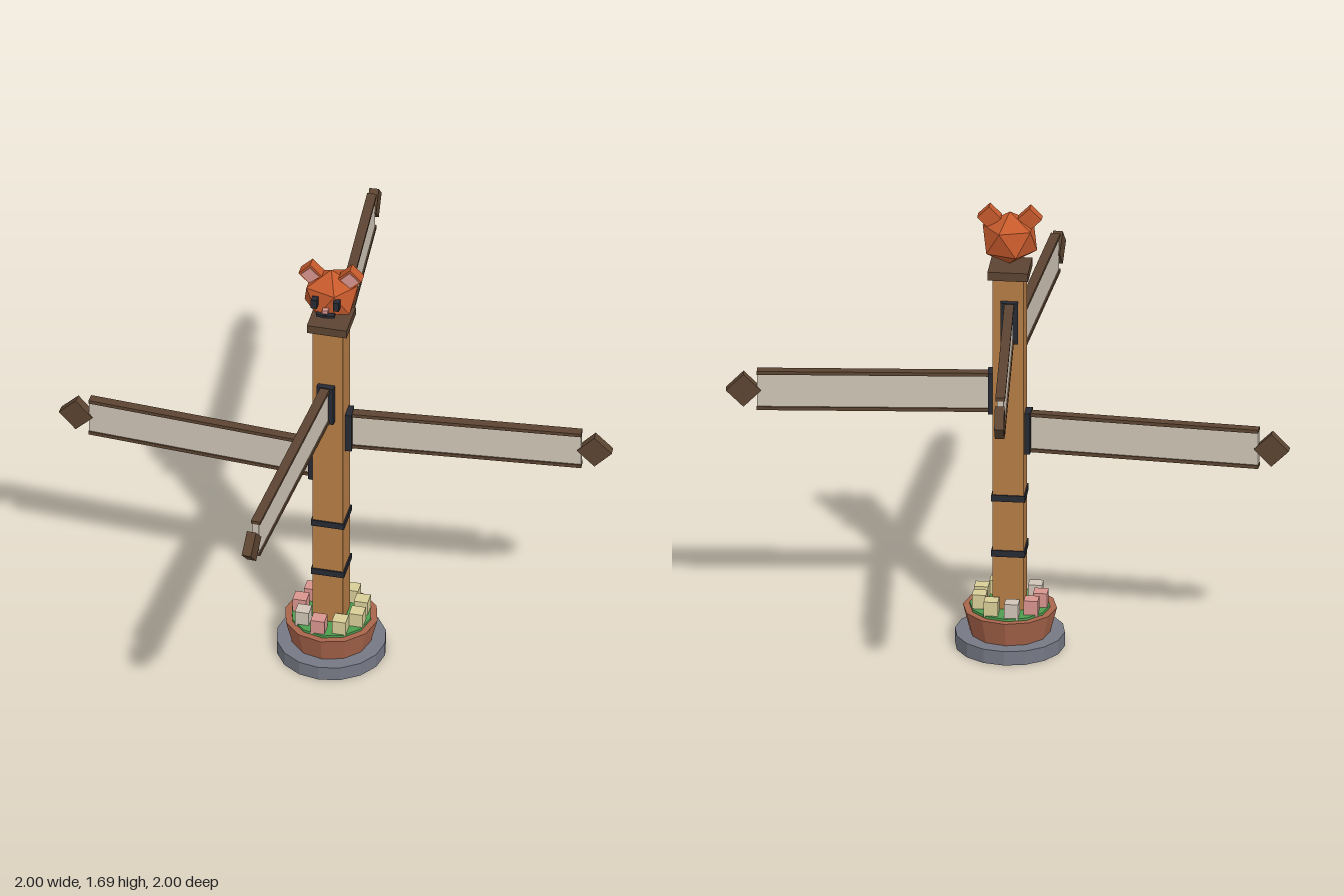
import * as THREE from 'three';

export function createModel() {
  const root = new THREE.Group();
  root.name = 'signpost';
  const mat = (name, color) => {
    const m = new THREE.MeshStandardMaterial({ color });
    m.name = name;
    m.flatShading = true;
    return m;
  };
  const wood = mat('wood', 0xb57d45);
  const darkWood = mat('dark wood', 0x5c4431);
  const iron = mat('dark iron', 0x272a33);
  const board = mat('pale board', 0xcfc4b6);
  const stone = mat('stone', 0x757884);
  const clay = mat('terracotta', 0xa9654b);
  const green = mat('leaf green', 0x4f9d50);
  const pink = mat('pink', 0xd9958f);
  const cream = mat('cream', 0xd8cd98);
  const fur = mat('orange fur', 0xc65a2c);

  const add = (parent, name, geo, material, x = 0, y = 0, z = 0) => {
    const m = new THREE.Mesh(geo, material);
    m.name = name;
    m.position.set(x, y, z);
    parent.add(m);
    return m;
  };
  const box = (w, h, d) => new THREE.BoxGeometry(w, h, d);

  // Base and planter
  add(root, 'baseSlab', new THREE.CylinderGeometry(0.195, 0.195, 0.053, 16), stone, 0, 0.0265, 0);
  add(root, 'planter', new THREE.CylinderGeometry(0.167, 0.143, 0.095, 12), clay, 0, 0.0985, 0);
  add(root, 'leaves', new THREE.CylinderGeometry(0.143, 0.143, 0.02, 12), green, 0, 0.145, 0);

  // Ring of blocky flowers
  const flowers = new THREE.Group();
  flowers.name = 'flowers';
  root.add(flowers);
  const blooms = [cream, cream, board, pink, pink, board, pink, cream, cream];
  const order = [1, 0, 3, 2, 4, 6, 5, 7, 8];
  order.forEach((k, i) => {
    const a = (i / order.length) * Math.PI * 2 + 0.35;
    add(flowers, 'flower', box(0.05, 0.06, 0.05), blooms[k], Math.cos(a) * 0.11, 0.178, Math.sin(a) * 0.11);
  });

  // Post with bands and cap
  add(root, 'post', box(0.11, 1.38, 0.11), wood, 0, 0.745, 0);
  for (const y of [0.37, 0.583]) add(root, 'postBand', box(0.12, 0.024, 0.12), iron, 0, y, 0);
  add(root, 'postCap', box(0.144, 0.032, 0.144), darkWood, 0, 1.443, 0);

  // Four arms, each running out along its own +x
  const arm = (name, y, degrees) => {
    const g = new THREE.Group();
    g.name = name;
    add(g, 'board', box(0.83, 0.136, 0.024), board, 0.477, 0, 0);
    for (const s of [-1, 1]) add(g, 'boardTrim', box(0.83, 0.013, 0.034), darkWood, 0.478, s * 0.068, 0);
    add(g, 'bracket', box(0.024, 0.156, 0.062), iron, 0.065, 0, 0);
    const tip = add(g, 'armTip', box(0.088, 0.088, 0.034), darkWood, 0.94, 0, 0);
    tip.rotation.z = Math.PI / 4;
    g.position.y = y;
    g.rotation.y = THREE.MathUtils.degToRad(degrees);
    root.add(g);
  };
  arm('leftArm', 0.973, 5);
  arm('rightArm', 0.825, 175.8);
  arm('frontArm', 1.12, -94.2);
  arm('backArm', 1.265, 94);

  // Faceted animal head with one corner straight up
  const head = new THREE.Group();
  head.name = 'head';
  head.position.y = 1.565;
  root.add(head);
  const skull = new THREE.IcosahedronGeometry(0.1, 0);
  skull.rotateX(-Math.atan((1 + Math.sqrt(5)) / 2));
  skull.rotateY(Math.PI / 2);
  skull.scale(1.08, 1, 1);
  add(head, 'skull', skull, fur);
  for (const s of [-1, 1]) {
    const ear = new THREE.Group();
    ear.name = 'ear';
    ear.position.set(s * 0.072, 0.08, 0);
    ear.rotation.z = -s * Math.PI / 4;
    head.add(ear);
    add(ear, 'earBlock', box(0.06, 0.06, 0.04), fur);
    add(ear, 'innerEar', box(0.046, 0.046, 0.006), pink, 0, 0, 0.021);
    add(head, 'eye', box(0.022, 0.036, 0.026), iron, s * 0.04, 0.014, 0.088);
    const lip = add(head, 'mouth', box(0.032, 0.01, 0.02), iron, s * 0.017, -0.036, 0.088);
    lip.rotation.z = s * 0.15;
  }
  add(head, 'nose', box(0.02, 0.014, 0.024), pink, 0, -0.014, 0.09);

  return root;
}
